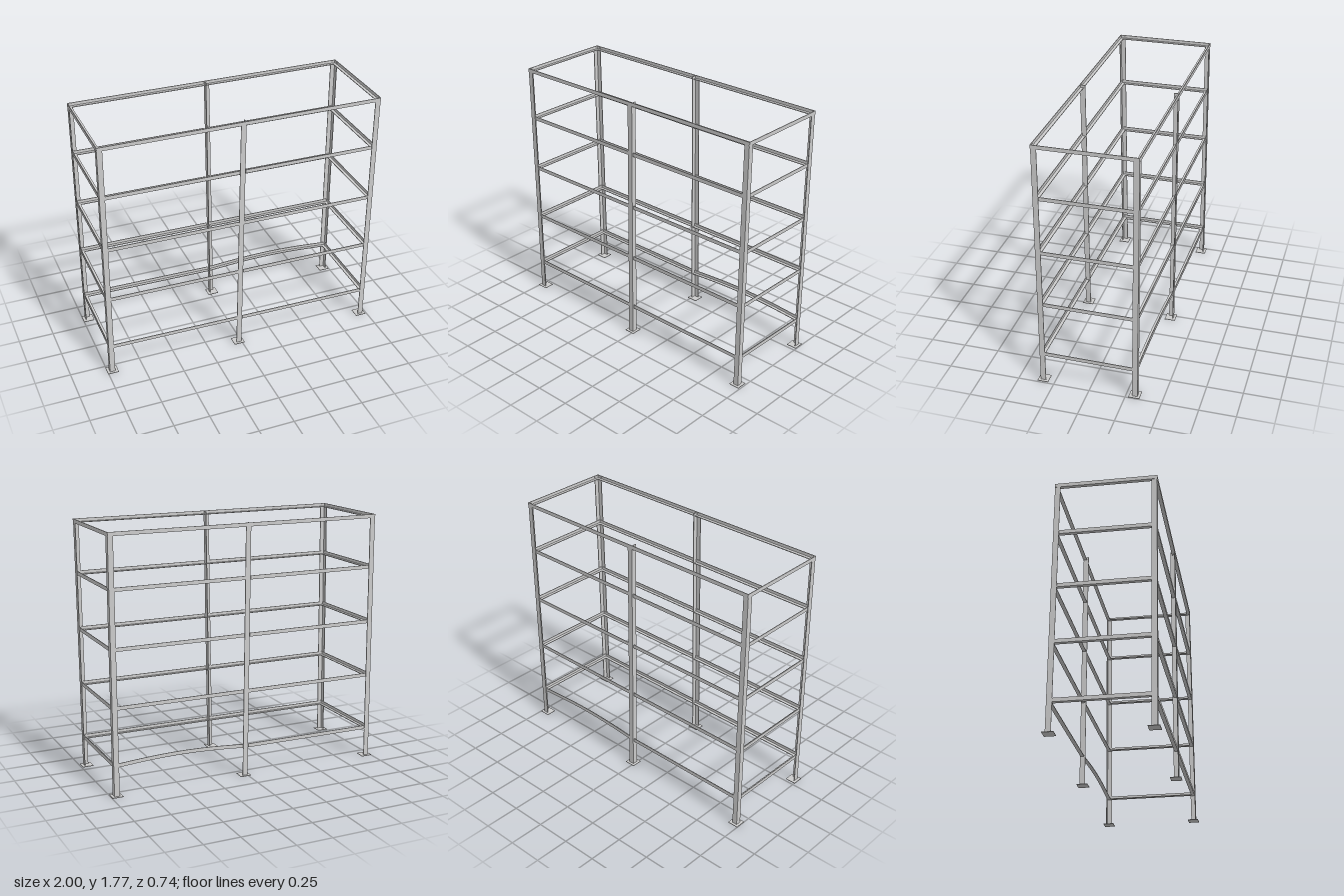
import * as THREE from 'three';

const T = 0.005; // steel thickness
const V = (x, y, z) => new THREE.Vector3(x, y, z);

export function createModel() {
  const model = new THREE.Group();
  const mat = new THREE.MeshStandardMaterial({ color: 0xcccccc, flatShading: true });

  const add = (geo, name) => {
    const mesh = new THREE.Mesh(geo, mat);
    mesh.name = name;
    model.add(mesh);
    return mesh;
  };

  // Angle iron: an L section whose outer corner runs from a to b,
  // with flanges along u and v; lift bows it upwards in the middle.
  function angleIron(name, a, b, u, v, w, lift = 0) {
    if (u.clone().cross(v).dot(b.clone().sub(a)) < 0) [a, b] = [b, a];
    const shape = new THREE.Shape([[0, 0], [w, 0], [w, T], [T, T], [T, w], [0, w]]
      .map(p => new THREE.Vector2(...p)));
    const geo = new THREE.ExtrudeGeometry(shape, { depth: 1, steps: lift ? 14 : 1, bevelEnabled: false });
    const pos = geo.attributes.position;
    for (let i = 0; i < pos.count; i++) {
      const t = pos.getZ(i);
      const p = a.clone().lerp(b, t)
        .addScaledVector(u, pos.getX(i))
        .addScaledVector(v, pos.getY(i));
      p.y += lift * Math.sin(Math.PI * t);
      pos.setXYZ(i, p.x, p.y, p.z);
    }
    geo.computeVertexNormals();
    add(geo, name);
  }

  // Posts in ring order: outer corner at foot and head (x, z), flange directions
  const posts = [
    { name: 'frontRight', foot: [-0.985, 0.325], head: [-0.98, 0.34], sx: 1, sz: -1 },
    { name: 'frontMiddle', foot: [-0.003, 0.339], head: [0.018, 0.34], sx: -1, sz: -1 },
    { name: 'frontLeft', foot: [0.972, 0.351], head: [0.987, 0.342], sx: -1, sz: -1 },
    { name: 'backLeft', foot: [0.979, -0.329], head: [0.985, -0.34], sx: -1, sz: 1 },
    { name: 'backMiddle', foot: [0, -0.344], head: [-0.02, -0.341], sx: 1, sz: 1 },
    { name: 'backRight', foot: [-0.982, -0.357], head: [-0.985, -0.343], sx: 1, sz: 1 },
  ];
  const TOP = 1.77, POST_W = 0.037, RAIL_W = 0.026;
  const cornerAt = (p, y) => V(p.foot[0], 0, p.foot[1]).lerp(V(p.head[0], TOP, p.head[1]), y / TOP);

  for (const p of posts) {
    angleIron(p.name + 'Post', cornerAt(p, 0.003), cornerAt(p, TOP), V(p.sx, 0, 0), V(0, 0, p.sz), POST_W);
    // Foot plate centred under the angle
    add(new THREE.BoxGeometry(0.077, 0.004, 0.075), p.name + 'FootPlate')
      .position.set(p.foot[0] + p.sx * 0.02, 0.002, p.foot[1] + p.sz * 0.02);
  }

  // Inward direction for each side of the ring
  const inward = [V(0, 0, -1), V(0, 0, -1), V(-1, 0, 0), V(0, 0, 1), V(0, 0, 1), V(1, 0, 0)];
  const up = V(0, 1, 0);

  posts.forEach((p, i) => {
    const q = posts[(i + 1) % posts.length];
    const side = p.name + 'To' + q.name[0].toUpperCase() + q.name.slice(1);

    // Shelf rails sit inside the posts, ledge at the bottom; one span is bowed
    [0.203, 0.6, 0.995, 1.389].forEach((y, level) => {
      const a = cornerAt(p, y), b = cornerAt(q, y);
      const along = b.clone().sub(a).normalize().multiplyScalar(T);
      a.add(along).addScaledVector(inward[i], T);
      b.sub(along).addScaledVector(inward[i], T);
      const bowed = level === 0 && p.name === 'backLeft';
      angleIron(`${side}Rail${level + 1}`, a, b, up, inward[i], RAIL_W, bowed ? 0.025 : 0);
    });

    // Top rails wrap the post heads, ledge also at the bottom
    const a = cornerAt(p, TOP), b = cornerAt(q, TOP);
    for (const e of [a, b]) {
      e.y = TOP + 0.003 - RAIL_W;
      e.addScaledVector(inward[i], -0.002);
    }
    angleIron(side + 'TopRail', a, b, up, inward[i], RAIL_W);
  });

  return model;
}
